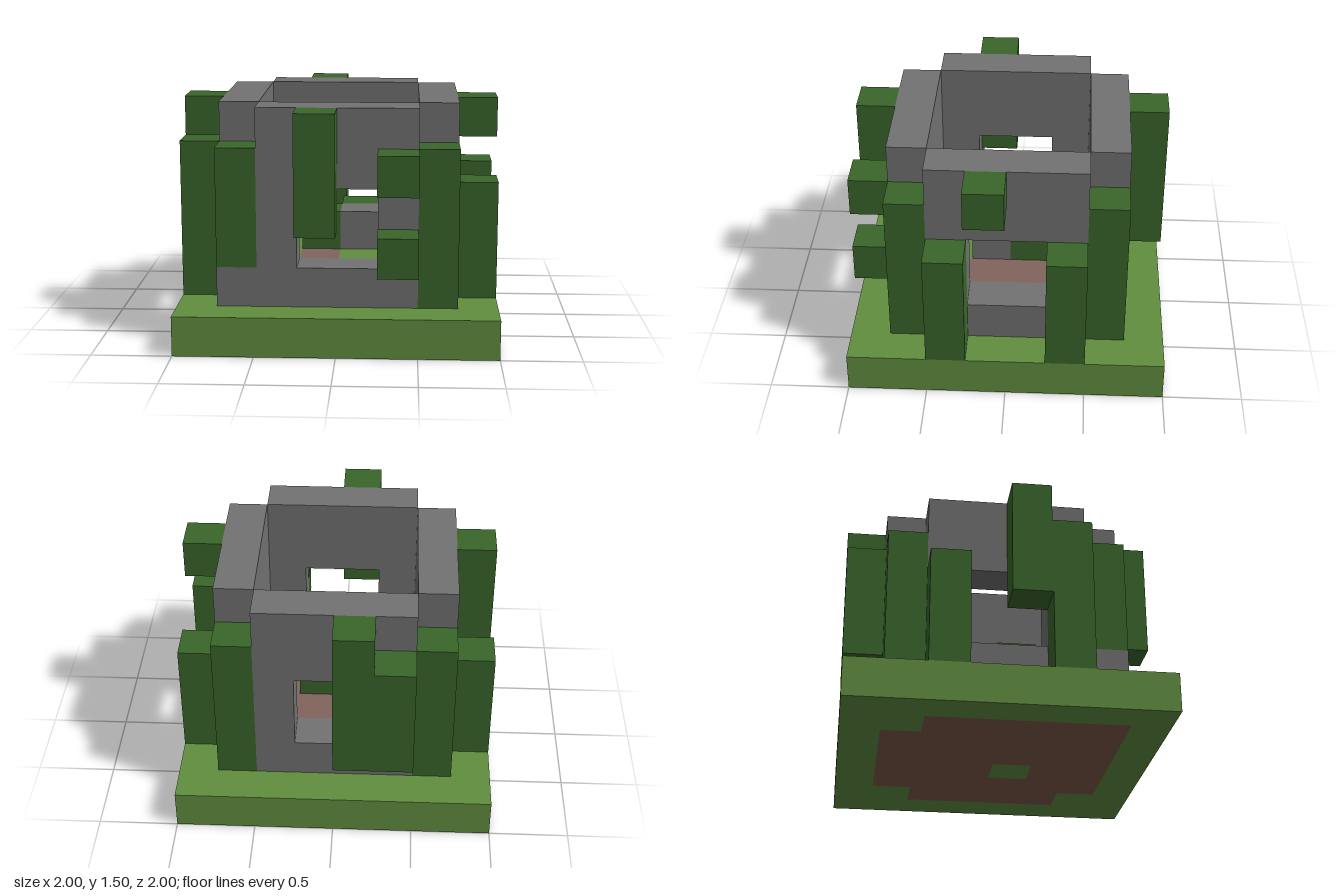
import * as THREE from 'three';

const U = 0.25; // size of one block; the plot is 8 x 8 blocks

function material(name, color) {
  const m = new THREE.MeshStandardMaterial({ color });
  m.name = name;
  return m;
}

export function createModel() {
  const grass = material('grass', 0x628f40);
  const leaf = material('leaf green', 0x3a672b);
  const stone = material('stone grey', 0x727272);
  const floor = material('floor brown', 0x80645d);
  const soil = material('soil brown', 0x7d5a48);

  const model = new THREE.Group();
  model.name = 'overgrownRuin';

  // Box from block cell (i, j, k), spanning w x h x d blocks
  function block(name, mat, i, j, k, w = 1, h = 1, d = 1) {
    const mesh = new THREE.Mesh(new THREE.BoxGeometry(w * U, h * U, d * U), mat);
    mesh.position.set((i + w / 2 - 4) * U, (j + h / 2) * U, (k + d / 2 - 4) * U);
    mesh.name = name;
    model.add(mesh);
  }

  // Ground slab: grass border, corners and centre patch
  block('groundBack', grass, 0, 0, 0, 8, 1, 1);
  block('groundFront', grass, 0, 0, 7, 8, 1, 1);
  for (const i of [0, 7]) block('groundSide', grass, i, 0, 1, 1, 1, 6);
  for (const [i, k] of [[1, 1], [6, 1], [6, 6], [4, 4]]) block('groundPatch', grass, i, 0, k);

  // Soil under the building
  block('foundationBack', soil, 2, 0, 1, 4, 1, 1);
  block('foundationFront', soil, 1, 0, 6, 5, 1, 1);
  block('foundationMiddle', soil, 1, 0, 2, 6, 1, 2);
  block('foundationMiddle', soil, 1, 0, 5, 6, 1, 1);
  block('foundationMiddle', soil, 1, 0, 4, 3, 1, 1);
  block('foundationMiddle', soil, 5, 0, 4, 2, 1, 1);

  // Raised floor with mossy patches
  block('floorBack', floor, 3, 1, 2, 3, 1, 3);
  block('floorFront', floor, 3, 1, 5);
  block('floorFront', floor, 5, 1, 5);
  block('mossStrip', grass, 2, 1, 2, 1, 1, 4);
  block('mossPatch', grass, 4, 1, 5);

  // Four equal walls, each with a square window
  const shape = new THREE.Shape();
  shape.moveTo(-2 * U, U).lineTo(2 * U, U).lineTo(2 * U, 6 * U).lineTo(-2 * U, 6 * U).closePath();
  const hole = new THREE.Path();
  hole.moveTo(-U, 2 * U).lineTo(-U, 4 * U).lineTo(U, 4 * U).lineTo(U, 2 * U).closePath();
  shape.holes.push(hole);
  const wallGeo = new THREE.ExtrudeGeometry(shape, { depth: U, bevelEnabled: false });
  wallGeo.translate(0, 0, 2 * U);
  ['frontWall', 'leftWall', 'backWall', 'rightWall'].forEach((name, n) => {
    const wall = new THREE.Mesh(wallGeo, stone);
    wall.rotation.y = n * Math.PI / 2;
    wall.name = name;
    model.add(wall);
  });
  block('cornerStone', stone, 1, 1, 6);

  // Rubble and bushes inside
  block('rubble', stone, 4, 2, 4);
  block('innerBush', leaf, 3, 2, 4);
  block('innerBush', leaf, 4, 2, 3);

  // Vines: [i, k, bottom, height] in blocks
  const vines = [
    [1, 1, 1, 4], [6, 1, 1, 4], [6, 6, 1, 4], [1, 6, 2, 3], // corners
    [3, 7, 3, 3], [5, 7, 2, 1], [5, 7, 4, 1],               // front
    [2, 0, 2, 3], [3, 0, 2, 4],                             // back
    [0, 2, 1, 3], [0, 4, 3, 3], [0, 5, 1, 4],               // -x side
    [7, 2, 1, 3], [7, 4, 5, 1], [7, 5, 1, 3],               // +x side
  ];
  for (const [i, k, j, h] of vines) block('vine', leaf, i, j, k, 1, h, 1);

  return model;
}
